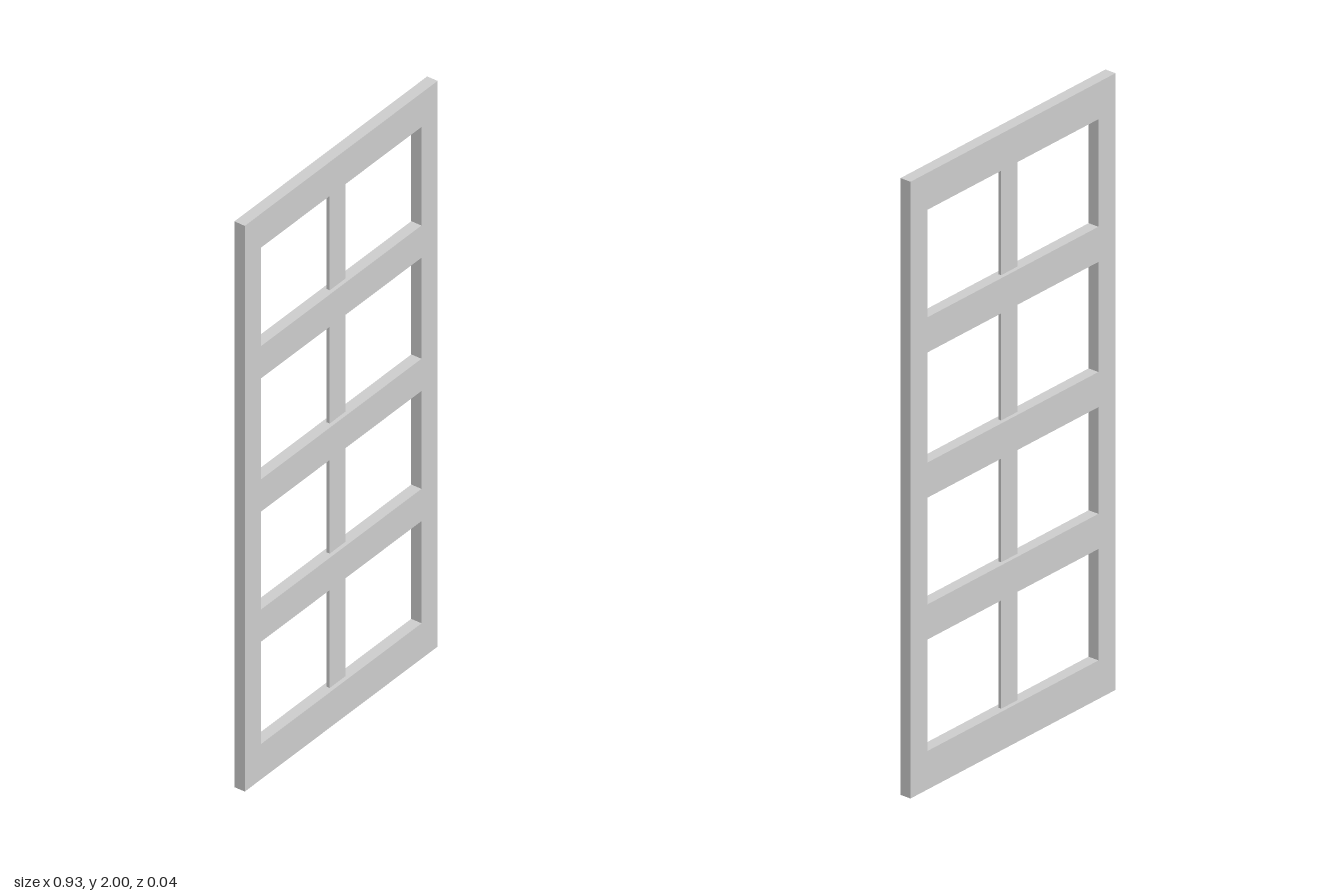
import * as THREE from 'three';

const material = new THREE.MeshStandardMaterial({ color: 0xcccccc });

function bar(name, w, h, d, y) {
  const mesh = new THREE.Mesh(new THREE.BoxGeometry(w, h, d), material);
  mesh.name = name;
  mesh.position.y = y;
  return mesh;
}

function rectangle(target, x, y0, y1) {
  target.moveTo(-x, y0);
  target.lineTo(x, y0);
  target.lineTo(x, y1);
  target.lineTo(-x, y1);
  target.closePath();
  return target;
}

export function createModel() {
  const group = new THREE.Group();
  group.name = 'windowFrame';
  const depth = 0.038, innerX = 0.387, bottom = 0.125, top = 1.88;

  // Outer frame: one slab with a tall opening
  const outline = rectangle(new THREE.Shape(), 0.464, 0, 2);
  outline.holes.push(rectangle(new THREE.Path(), innerX, bottom, top));
  const frameGeometry = new THREE.ExtrudeGeometry(outline, { depth, bevelEnabled: false });
  frameGeometry.translate(0, 0, -depth / 2);
  const frame = new THREE.Mesh(frameGeometry, material);
  frame.name = 'outerFrame';
  group.add(frame);

  // Horizontal bars, almost flush with the frame
  [0.543, 1.003, 1.474].forEach((y, i) => {
    group.add(bar(`crossBar${i + 1}`, innerX * 2, 0.114, 0.037, y));
  });

  // Thin vertical bar set back in the middle of the depth
  group.add(bar('centreBar', 0.075, top - bottom, 0.011, (top + bottom) / 2));

  return group;
}
